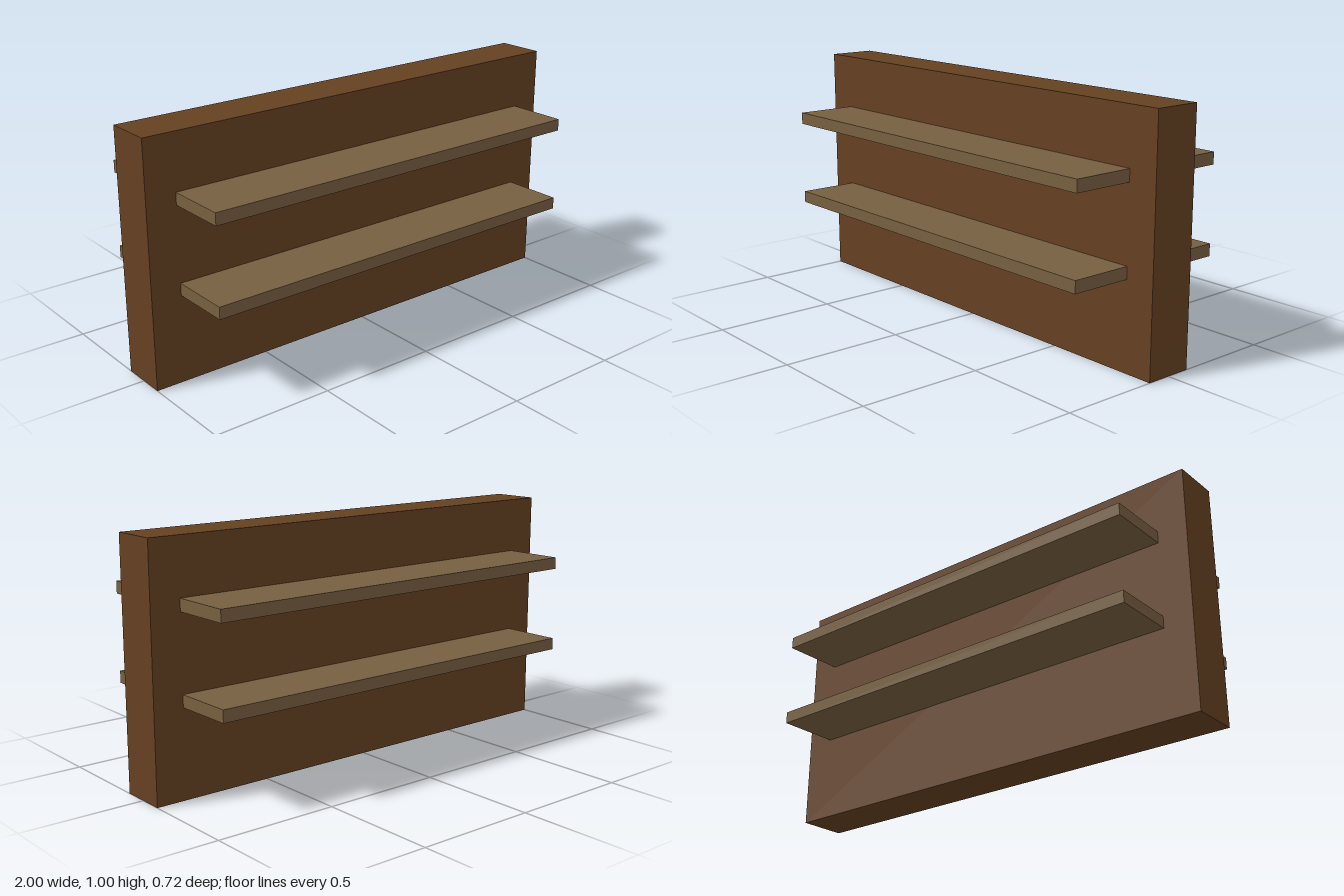
import * as THREE from 'three';

export function createModel() {
  const model = new THREE.Group();
  model.name = 'doubleSidedShelf';

  const darkWood = new THREE.MeshStandardMaterial({ color: 0x654021 });
  darkWood.name = 'darkWood';
  const lightWood = new THREE.MeshStandardMaterial({ color: 0x775f40 });
  lightWood.name = 'lightWood';

  const addBox = (name, size, position, material) => {
    const mesh = new THREE.Mesh(new THREE.BoxGeometry(...size), material);
    mesh.name = name;
    mesh.position.set(...position);
    model.add(mesh);
  };

  // Upright central panel
  addBox('panel', [2, 1, 0.2], [0, 0.5, 0], darkWood);

  // Two shelves on each side of the panel
  for (const [level, y] of [['lower', 0.385], ['upper', 0.745]]) {
    for (const [side, sign] of [['Front', 1], ['Back', -1]]) {
      addBox(`${level}${side}Shelf`, [1.75, 0.05, 0.26], [0, y, sign * 0.23], lightWood);
    }
  }

  return model;
}
